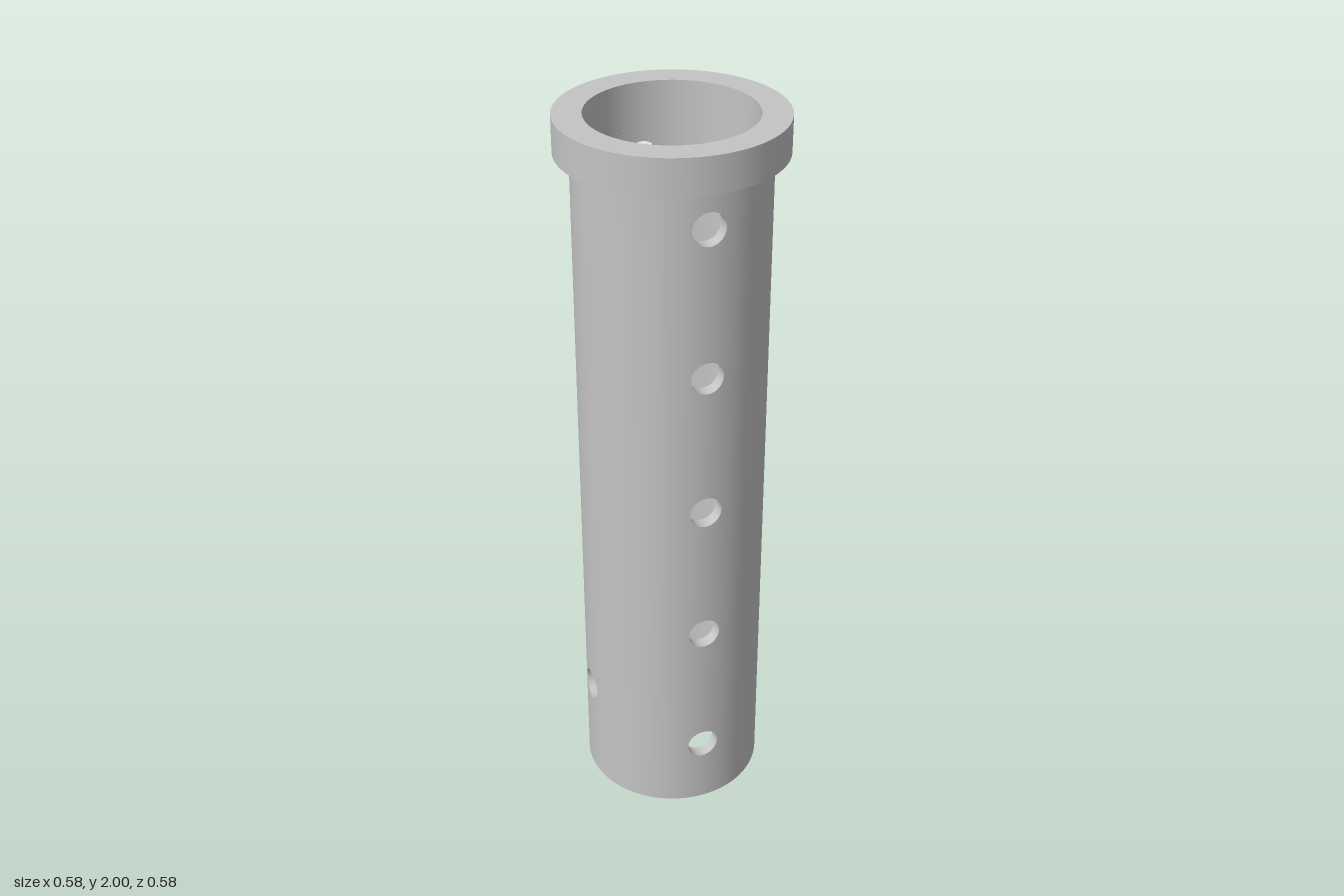
import * as THREE from 'three';
import { ParametricGeometry } from 'three/addons/geometries/ParametricGeometry.js';
import { mergeGeometries } from 'three/addons/utils/BufferGeometryUtils.js';

const OUTER = 0.25, INNER = 0.215, BORE = 0.18, FLANGE = 0.29;
const TOP = 2, FLANGE_Y = 1.905, LEDGE_Y = 0.1;
const HOLE = 0.044;   // drilled hole radius
const WINDOW = 0.08;  // half size of the square patch around a hole

// Rows of holes at each quarter turn, starting at the front
const FACE_HOLES = [0.2, 0.6, 1, 1.4, 1.8];
const SIDE_HOLES = [0.3];
const ROWS = [FACE_HOLES, SIDE_HOLES, FACE_HOLES, SIDE_HOLES];

// Point on a cylinder of radius r, at sideways offset x and height y
const onCylinder = (x, y, r, out) => out.set(x, y, Math.sqrt(r * r - x * x));

// Plain piece of wall between two angles and two heights
function patch(r, a0, a1, y0, y1, segments, inward) {
  return new ParametricGeometry((u, v, out) => {
    const a = a0 + (a1 - a0) * (inward ? 1 - u : u);
    out.set(r * Math.sin(a), y0 + (y1 - y0) * v, r * Math.cos(a));
  }, segments, 1);
}

// Square piece of wall with a round hole in it
function holedPatch(r, y, inward) {
  return new ParametricGeometry((u, v, out) => {
    const a = 2 * Math.PI * (inward ? u : 1 - u);
    const c = Math.cos(a), s = Math.sin(a);
    const square = WINDOW / Math.max(Math.abs(c), Math.abs(s));
    const d = HOLE + (square - HOLE) * v;
    onCylinder(d * c, y + d * s, r, out);
  }, 48, 3);
}

// Pierced cylindrical wall made from four quarter turns
function piercedWall(r, y0, y1, inward) {
  const parts = [];
  const w = Math.asin(WINDOW / r);
  ROWS.forEach((row, k) => {
    const quarter = [patch(r, w, Math.PI / 2 - w, y0, y1, 16, inward)];
    // The last quarter strip must meet the next window, which has the same width
    let y = y0;
    for (const h of row) {
      quarter.push(patch(r, -w, w, y, h - WINDOW, 12, inward), holedPatch(r, h, inward));
      y = h + WINDOW;
    }
    quarter.push(patch(r, -w, w, y, y1, 12, inward));
    quarter.forEach((g) => parts.push(g.rotateY(k * Math.PI / 2)));
  });
  return mergeGeometries(parts);
}

// Drilled sides of one hole through the wall thickness
function holeSides(y) {
  return new ParametricGeometry((u, v, out) => {
    const a = -2 * Math.PI * u;
    onCylinder(HOLE * Math.cos(a), y + HOLE * Math.sin(a), INNER + (OUTER - INNER) * v, out);
  }, 48, 1);
}

// Separate turned faces keep every rim sharp
function turned(...points) {
  const faces = [];
  for (let i = 0; i + 1 < points.length; i++) {
    const pair = [points[i], points[i + 1]].map(([r, y]) => new THREE.Vector2(r, y));
    faces.push(new THREE.LatheGeometry(pair, 96));
  }
  return mergeGeometries(faces);
}

export function createModel() {
  const group = new THREE.Group();
  group.name = 'flangedSleeve';
  const steel = new THREE.MeshStandardMaterial({ color: 0xc4c4c4 });
  steel.name = 'grey steel';

  const add = (name, geometry) => {
    const mesh = new THREE.Mesh(geometry, steel);
    mesh.name = name;
    group.add(mesh);
  };

  // Tube walls
  add('outerWall', piercedWall(OUTER, 0, FLANGE_Y, false));
  add('innerWall', piercedWall(INNER, LEDGE_Y, TOP, true));

  // Cross-drilled holes
  const sides = [];
  ROWS.forEach((row, k) => row.forEach((y) => sides.push(holeSides(y).rotateY(k * Math.PI / 2))));
  add('drilledHoles', mergeGeometries(sides));

  // Collar at the top, and the narrower lip inside the foot
  add('topFlange', turned([OUTER, FLANGE_Y], [FLANGE, FLANGE_Y], [FLANGE, TOP], [INNER, TOP]));
  add('bottomLip', turned([INNER, LEDGE_Y], [BORE, LEDGE_Y], [BORE, 0], [OUTER, 0]));

  return group;
}
